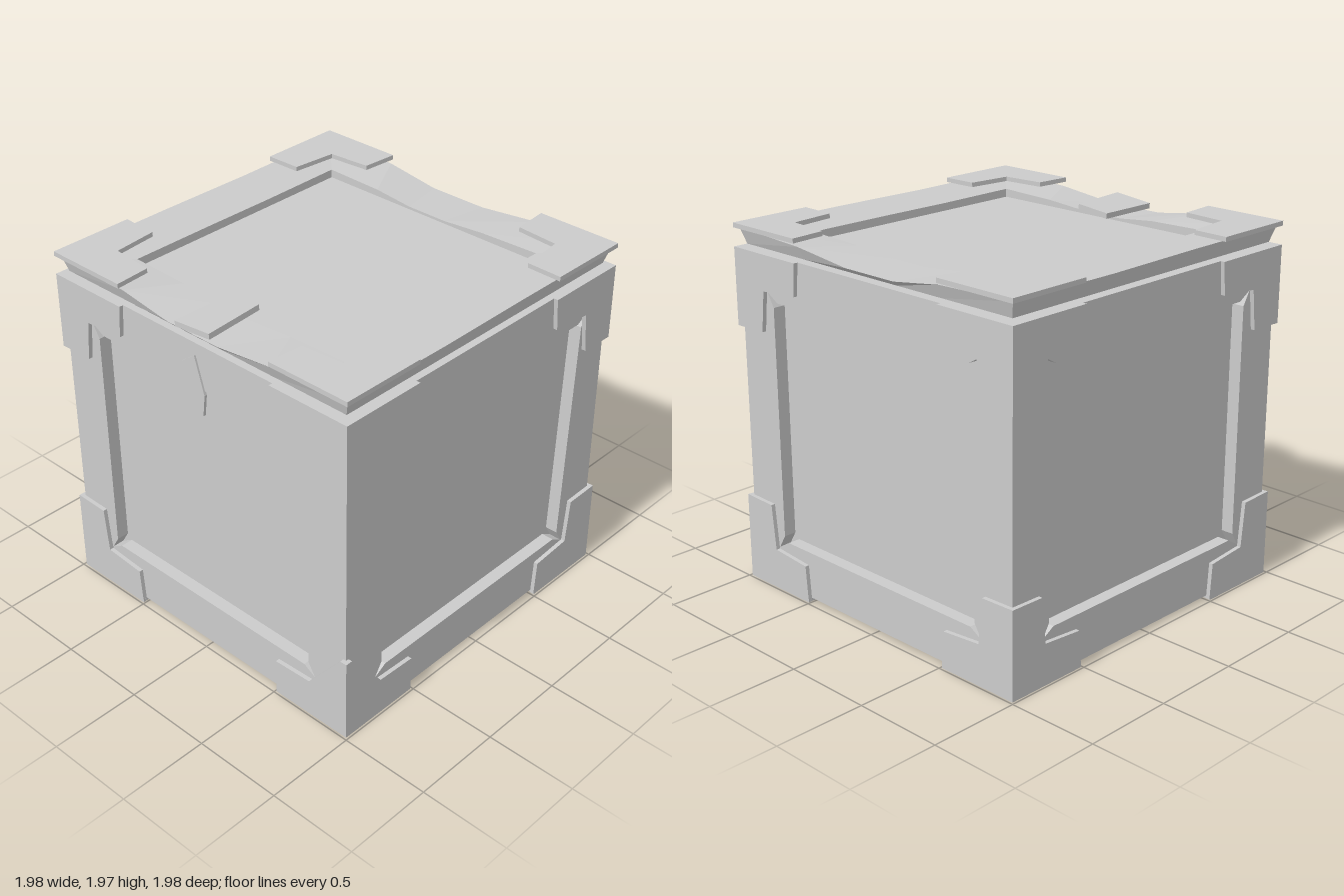
import * as THREE from 'three';

const mat = new THREE.MeshStandardMaterial({ color: 0xcccccc, flatShading: true, side: THREE.DoubleSide });
const OUT = 0.965, INNER = 0.895, EDGE = 0.988, TOP = 1.845;

function add(parent, name, geometry) {
  const mesh = new THREE.Mesh(geometry, mat);
  mesh.name = name;
  parent.add(mesh);
  return mesh;
}

function box(parent, name, w, h, d, x, y, z) {
  add(parent, name, new THREE.BoxGeometry(w, h, d)).position.set(x, y, z);
}

const toPoints = (list) => list.map(([x, y]) => new THREE.Vector2(x, y));

// Flat plate cut from an outline, standing on z = z0
function plate(parent, name, outline, z0, depth, hole) {
  const shape = new THREE.Shape(toPoints(outline));
  if (hole) shape.holes.push(new THREE.Path(toPoints(hole)));
  const geo = new THREE.ExtrudeGeometry(shape, { depth, bevelEnabled: false });
  return add(parent, name, geo.translate(0, 0, z0));
}

const rect = (x0, y0, x1, y1) => [[x0, y0], [x1, y0], [x1, y1], [x0, y1]];

// Bracket outlines measured inward from a corner
const ELL = [[0, 0], [0.48, 0], [0.465, 0.2], [0.225, 0.22], [0.2, 0.47], [0, 0.475]];
const GUSSET = [[0, 0], [0.48, 0], [0.48, 0.2], [0.25, 0.21], [0.04, 0.47], [0, 0.47]];

function bracket(parent, name, outline, sx, sy, yEdge, z0, depth) {
  plate(parent, name, outline.map(([u, v]) => [sx * (EDGE - u), yEdge - sy * v]), z0, depth);
}

// Opening with a small notch in each corner; q = corners from bottom left, counterclockwise
function notched(q) {
  const signs = [[-1, -1], [1, -1], [1, 1], [-1, 1]];
  return q.flatMap(([x, y], i) => {
    const [sx, sy] = signs[i];
    const tip = [x + sx * 0.045, y + sy * 0.045];
    const side = [x, y - sy * 0.03], flat = [x - sx * 0.03, y];
    return i % 2 ? [flat, tip, side] : [side, tip, flat];
  });
}

// Raised lid rim, lofted around the square with a height that varies along each side
function lidRimGeometry() {
  const front = [[-1, 1.945], [-0.52, 1.93], [-0.2, 1.885], [0.15, 1.885], [0.52, 1.925]];
  const back = [[-1, 1.945], [-0.52, 1.925], [-0.15, 1.885], [0.2, 1.885], [0.52, 1.93]];
  const side = [[-1, 1.945], [-0.3, 1.94], [0.3, 1.945]];
  const ring = [
    ...front.map(([t, h]) => [t, 1, h]),
    ...side.map(([t, h]) => [1, -t, h]),
    ...back.map(([t, h]) => [-t, -1, h]),
    ...side.map(([t, h]) => [-1, t, h]),
  ];
  const pos = [], index = [];
  for (const [x, z, h] of ring) {
    const section = [[0.94, 1.86], [OUT, h], [0.7, (h + 1.875) / 2 + 0.01], [0.7, 1.865]];
    for (const [s, y] of section) pos.push(x * s, y, z * s);
  }
  const n = ring.length;
  for (let i = 0; i < n; i++) {
    const j = (i + 1) % n;
    for (let k = 0; k < 3; k++) {
      const a = i * 4 + k, b = j * 4 + k;
      index.push(a, b, b + 1, a, b + 1, a + 1);
    }
  }
  const geo = new THREE.BufferGeometry();
  geo.setAttribute('position', new THREE.Float32BufferAttribute(pos, 3));
  geo.setIndex(index);
  geo.computeVertexNormals();
  return geo;
}

export function createModel() {
  const model = new THREE.Group();
  model.name = 'crate';

  // Core whose faces form the recessed panels
  box(model, 'panels', INNER * 2, TOP - 0.09, INNER * 2, 0, (TOP + 0.09) / 2, 0);

  // Four walls: frame around the recess plus corner brackets
  const square = [[-0.715, 0.28], [0.715, 0.28], [0.715, 1.6], [-0.715, 1.6]];
  const skewed = [[-0.71, 0.27], [0.71, 0.27], [0.765, 1.6], [-0.7, 1.6]];
  const walls = ['front', 'right', 'back', 'left'];
  walls.forEach((name, i) => {
    const wall = new THREE.Group();
    wall.name = name + 'Wall';
    wall.rotation.y = i * Math.PI / 2;
    model.add(wall);
    const hole = notched(name === 'right' ? skewed : square);
    plate(wall, 'frame', rect(-OUT, 0.02, OUT, TOP), INNER, OUT - INNER, hole);
    for (const sx of [-1, 1]) {
      const bent = (name === 'front' && sx > 0) || (name === 'right' && sx < 0);
      bracket(wall, 'lowerBracket', bent ? GUSSET : ELL, sx, -1, 0.004, OUT, EDGE - OUT);
      bracket(wall, 'upperBracket', ELL.map(([u, v]) => [u, v * 0.88]), sx, 1, TOP, OUT, EDGE - OUT);
    }
  });

  // Underside: frame and brackets
  const base = new THREE.Group();
  base.name = 'underside';
  base.rotation.x = Math.PI / 2;
  model.add(base);
  const low = notched(rect(-0.7, -0.7, 0.7, 0.7));
  plate(base, 'baseFrame', rect(-OUT, -OUT, OUT, OUT), -0.09, 0.07, low);
  for (const sx of [-1, 1]) for (const sy of [-1, 1]) {
    bracket(base, 'baseBracket', ELL, sx, sy, sy * EDGE, -0.02, 0.02);
  }

  // Lid: thin panel, sagging rim and raised corner plates
  const lid = new THREE.Group();
  lid.name = 'lid';
  model.add(lid);
  box(lid, 'lidPanel', 1.87, 0.015, 1.87, 0, 1.8675, 0);
  add(lid, 'lidRim', lidRimGeometry());
  const corners = new THREE.Group();
  corners.name = 'lidCorners';
  corners.rotation.x = -Math.PI / 2;
  lid.add(corners);
  for (const sx of [-1, 1]) for (const sy of [-1, 1]) {
    bracket(corners, 'lidBracket', ELL, sx, sy, sy * EDGE, 1.945, 0.025);
  }

  // Latch: strap over the front of the lid and a pointed tongue on the wall
  const strap = plate(lid, 'latchStrap',
    [[-0.115, -0.98], [0.12, -0.98], [0.09, -0.63], [-0.11, -0.63]], 0, 0.03);
  strap.rotation.set(-Math.PI / 2, 0.1, 0);
  strap.rotation.order = 'ZXY';
  strap.rotation.set(-Math.PI / 2, 0, 0.1);
  strap.position.y = 1.905;
  plate(model, 'latchTongue', [[-0.095, 1.71], [-0.02, 1.6], [0.045, 1.46], [0.06, 1.58], [0, 1.78]],
    OUT - 0.005, 0.015);

  return model;
}
